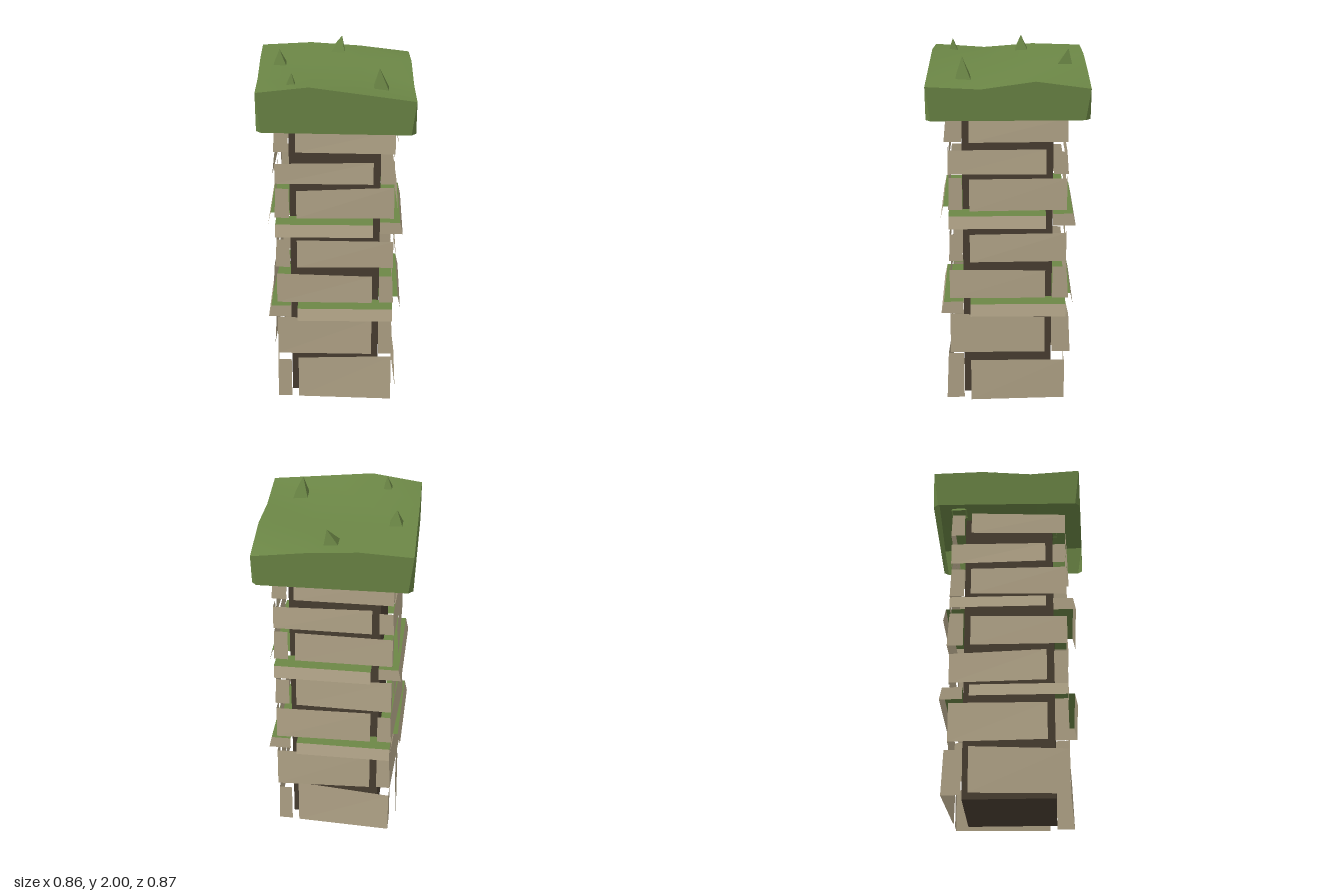
import * as THREE from 'three';

// Flat-faced geometry from quads or triangles, corners counter-clockwise
function faces(list) {
  const pos = [];
  for (const f of list) {
    for (let i = 1; i < f.length - 1; i++) pos.push(...f[0], ...f[i], ...f[i + 1]);
  }
  const g = new THREE.BufferGeometry();
  g.setAttribute('position', new THREE.Float32BufferAttribute(pos, 3));
  g.computeVertexNormals();
  return g;
}

export function createModel() {
  const group = new THREE.Group();
  const stone = new THREE.MeshStandardMaterial({ color: 0xb6a88b, side: THREE.DoubleSide });
  stone.name = 'stone';
  const mortar = new THREE.MeshStandardMaterial({ color: 0x4b4033 });
  mortar.name = 'dark mortar';
  const grass = new THREE.MeshStandardMaterial({ color: 0x6c8746, side: THREE.DoubleSide });
  grass.name = 'grass';
  const { lerp } = THREE.MathUtils;

  function add(name, geometry, material, parent = group) {
    const m = new THREE.Mesh(geometry, material);
    m.name = name;
    parent.add(m);
    return m;
  }

  // Dark core behind the stones
  add('core', new THREE.BoxGeometry(0.5, 1.7, 0.5).translate(0, 0.85, 0), mortar);

  // Facing stone on the front side: outer face plus a return at its corner end.
  // tops and depths are given as [left, right]; odd courses are mirrored
  const INNER = 0.25;
  function facing(mirrored, y0, tops, low, high) {
    const [a, b] = mirrored ? [-0.325, 0.21] : [-0.21, 0.325];
    const A = [a, y0, low[0]], B = [b, y0, low[1]];
    const C = [b, tops[1], high[1]], D = [a, tops[0], high[0]];
    const [Ai, Bi, Ci, Di] = [A, B, C, D].map(([x, y]) => [x, y, INNER]);
    return {
      body: [[A, B, C, D], mirrored ? [Ai, A, D, Di] : [B, Bi, Ci, C]],
      top: [D, C, Ci, Di],
    };
  }

  // Courses from the ground up. Tops [left, right] and depths of the
  // front, right, back and left stones; ledges have no such lists
  const courses = [
    { y: 0, tops: [[0.26, 0.285], [0.25, 0.24], [0.28, 0.25], [0.26, 0.25]], out: [0.35, 0.355, 0.355, 0.365] },
    { y: 0.295, tops: [[0.535, 0.515], [0.535, 0.51], [0.53, 0.52], [0.52, 0.51]], out: [0.326, 0.328, 0.355, 0.35] },
    { y: 0.54, ledgeTop: 0.61 },
    { y: 0.635, tops: [[0.815, 0.8], [0.805, 0.8], [0.825, 0.83], [0.81, 0.82]], out: [0.326, 0.328, 0.34, 0.355] },
    { y: 0.86, tops: [[1.025, 1.02], [1.02, 1.025], [1.03, 1.055], [1.04, 1.03]], out: [0.326, 0.345, 0.34, 0.332] },
    { y: 1.07, ledgeTop: 1.14 },
    { y: 1.165, tops: [[1.325, 1.35], [1.345, 1.345], [1.34, 1.335], [1.33, 1.34]], out: [0.326, 0.35, 0.33, 0.35] },
    { y: 1.37, tops: [[1.485, 1.495], [1.505, 1.51], [1.5, 1.515], [1.5, 1.49]], out: [0.326, 0.332, 0.332, 0.345] },
    { y: 1.555, tops: [[1.69, 1.685], [1.695, 1.685], [1.68, 1.69], [1.69, 1.68]], out: [0.345, 0.345, 0.328, 0.355] },
  ];
  courses.forEach(({ y, tops, out, ledgeTop }, row) => {
    const course = new THREE.Group();
    course.name = ledgeTop ? 'ledgeCourse' : 'stoneCourse';
    group.add(course);
    for (let k = 0; k < 4; k++) {
      const turn = k * Math.PI / 2, mirrored = row % 2 === 1;
      if (ledgeTop) {
        const s = facing(mirrored, y, [ledgeTop, ledgeTop], [0.375, 0.375], [0.36, 0.36]);
        add('ledgeStone', faces(s.body), stone, course).rotation.y = turn;
        add('ledgeMoss', faces([s.top]), grass, course).rotation.y = turn;
      } else {
        const low = (row + k) % 2 ? [out[k], 0.33] : [0.33, out[k]];
        const high = low.map((d) => Math.max(0.322, d - 0.012));
        const s = facing(mirrored, y, tops[k], low, high);
        add('stoneBlock', faces(s.body), stone, course).rotation.y = turn;
      }
    }
  });

  // Grass cap: softly wavy 4 x 4 top with hanging walls, hollow below
  const heights = [ // rows from back to front, left to right in x
    [1.91, 1.925, 1.905, 1.87],
    [1.92, 1.91, 1.905, 1.91],
    [1.9, 1.905, 1.895, 1.87],
    [1.92, 1.955, 1.92, 1.885],
  ];
  const back = [[-0.428, -0.425], [0.413, -0.437]], front = [[-0.411, 0.41], [0.428, 0.434]];
  const grid = heights.map((r, j) => r.map((y, i) => {
    const at = (n) => lerp(lerp(back[0][n], back[1][n], i / 3), lerp(front[0][n], front[1][n], i / 3), j / 3);
    return [at(0), y, at(1)];
  }));
  const index = [];
  for (let j = 0; j < 3; j++) {
    for (let i = 0; i < 3; i++) {
      const p = j * 4 + i;
      index.push(p, p + 4, p + 5, p, p + 5, p + 1);
    }
  }
  const top = new THREE.BufferGeometry();
  top.setAttribute('position', new THREE.Float32BufferAttribute(grid.flat(2), 3));
  top.setIndex(index);
  top.computeVertexNormals();
  add('grassTop', top, grass);

  // Walls hang straight down; their lower ends stop short of the corners
  const BASE = 1.7, CUT = 0.03;
  const edges = [
    grid[3],
    [3, 2, 1, 0].map((j) => grid[j][3]),
    [...grid[0]].reverse(),
    grid.map((r) => r[0]),
  ];
  const wallFaces = [];
  const ends = edges.map((edge) => {
    const [s, e] = [edge[0], edge[3]];
    const low = edge.map((p, i) => {
      const t = lerp(CUT, 1 - CUT, i / 3);
      return [lerp(s[0], e[0], t), BASE, lerp(s[2], e[2], t)];
    });
    for (let i = 0; i < 3; i++) wallFaces.push([low[i], low[i + 1], edge[i + 1], edge[i]]);
    return { first: low[0], last: low[3], corner: e };
  });
  // Narrow corner folds between neighbouring walls
  ends.forEach((e, k) => wallFaces.push([e.last, ends[(k + 1) % 4].first, e.corner]));
  add('grassWalls', faces(wallFaces), grass);

  // Grass spikes: x, z, half width, base height, tip x, tip z, tip height
  const spikes = [
    [-0.308, -0.082, 0.038, 1.905, -0.31, -0.08, 1.995],
    [0.0, -0.312, 0.047, 1.895, 0.03, -0.335, 1.995],
    [0.245, 0.238, 0.041, 1.885, 0.235, 0.243, 2],
    [-0.232, 0.303, 0.028, 1.915, -0.225, 0.306, 1.995],
  ];
  for (const [x, z, w, y, tx, tz, ty] of spikes) {
    const tip = [tx, ty, tz];
    const base = [[-w, w], [w, w], [w, -w], [-w, -w]].map(([dx, dz]) => [x + dx, y, z + dz]);
    add('grassSpike', faces(base.map((p, i) => [p, base[(i + 1) % 4], tip])), grass);
  }
  return group;
}
